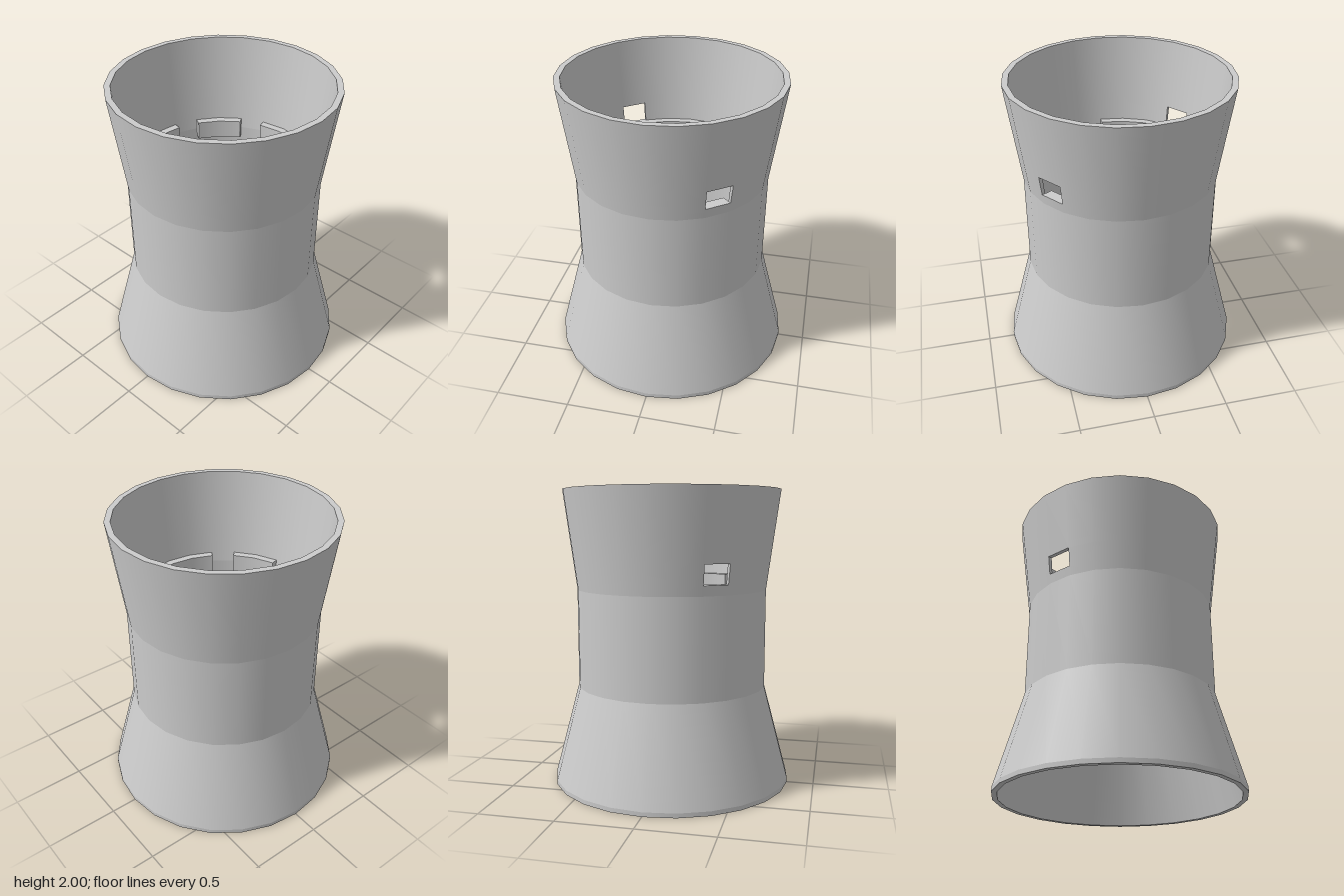
import * as THREE from 'three';

const SIDES = 24;
const STEP = (Math.PI * 2) / SIDES;
const grey = new THREE.MeshStandardMaterial({ color: 0xcccccc });
const greyBoth = new THREE.MeshStandardMaterial({ color: 0xcccccc, side: THREE.DoubleSide });

// One strip between two [radius, y] points, smooth around and sharp at its edges.
function band(a, b, start = 0, count = SIDES) {
  const points = [a, b].map(([r, y]) => new THREE.Vector2(r, y));
  return new THREE.Mesh(new THREE.LatheGeometry(points, count, start * STEP, count * STEP), grey);
}

// Flat radial end face of a profile at a given step round the axis.
function endFace(profile, at) {
  const shape = new THREE.Shape(profile.map(([r, y]) => new THREE.Vector2(r, y)));
  const geometry = new THREE.ShapeGeometry(shape).rotateY(at * STEP - Math.PI / 2);
  return new THREE.Mesh(geometry, greyBoth);
}

function named(name, meshes) {
  const group = new THREE.Group();
  group.name = name;
  meshes.forEach((m) => { m.name = name; group.add(m); });
  return group;
}

export function createModel() {
  const model = new THREE.Group();
  model.name = 'flaredSleeve';

  // Window heights and the wall radii there
  const low = 1.4, high = 1.53;
  const outer = (y) => 0.65 + 0.09 * (y - 1.333) / 0.667;
  const inner = (y) => 0.63 + 0.07 * (y - 1.333) / 0.667;
  const windows = [2, 14];
  const solidRuns = [3, 15];

  // Lower flare, waist and upper flare, outside
  const outside = [[0.82, 0], [0.82, 0.03], [0.65, 0.667], [0.65, 1.333], [outer(low), low]];
  const outerWall = outside.slice(1).map((p, i) => band(outside[i], p));
  solidRuns.forEach((s) => outerWall.push(band([outer(low), low], [outer(high), high], s, 11)));
  outerWall.push(band([outer(high), high], [0.74, 2]));
  model.add(named('outerWall', outerWall));

  // Matching inside wall, running downwards so that it faces the axis
  const insideLow = [[inner(low), low], [0.63, 1.333], [0.63, 0.667], [0.785, 0]];
  const innerWall = insideLow.slice(1).map((p, i) => band(insideLow[i], p));
  solidRuns.forEach((s) => innerWall.push(band([inner(high), high], [inner(low), low], s, 11)));
  innerWall.push(band([0.7, 2], [inner(high), high]));
  model.add(named('innerWall', innerWall));

  // Rims
  model.add(named('topRim', [band([0.74, 2], [0.7, 2])]));
  model.add(named('bottomRim', [band([0.785, 0], [0.82, 0])]));

  // Two opposite windows through the wall
  const cut = [[inner(low), low], [outer(low), low], [outer(high), high], [inner(high), high]];
  windows.forEach((s) => model.add(named('windowReveal', [
    band(cut[1], cut[0], s, 1),
    band(cut[3], cut[2], s, 1),
    endFace(cut, s),
    endFace(cut, s + 1),
  ])));

  // Inner locking tabs separated by one-step slots: [start, steps]
  const tab = [[0.585, 1.27], [0.63, 1.27], [0.63, 1.333], [inner(low), low], [0.585, low]];
  [[8, 2], [4, 3], [2, 1], [-2, 3], [-5, 2], [-13, 7]].forEach(([start, steps]) => {
    model.add(named('lockingTab', [
      band(tab[0], tab[1], start, steps),
      band(tab[3], tab[4], start, steps),
      band(tab[4], tab[0], start, steps),
      endFace(tab, start),
      endFace(tab, start + steps),
    ]));
  });

  return model;
}
